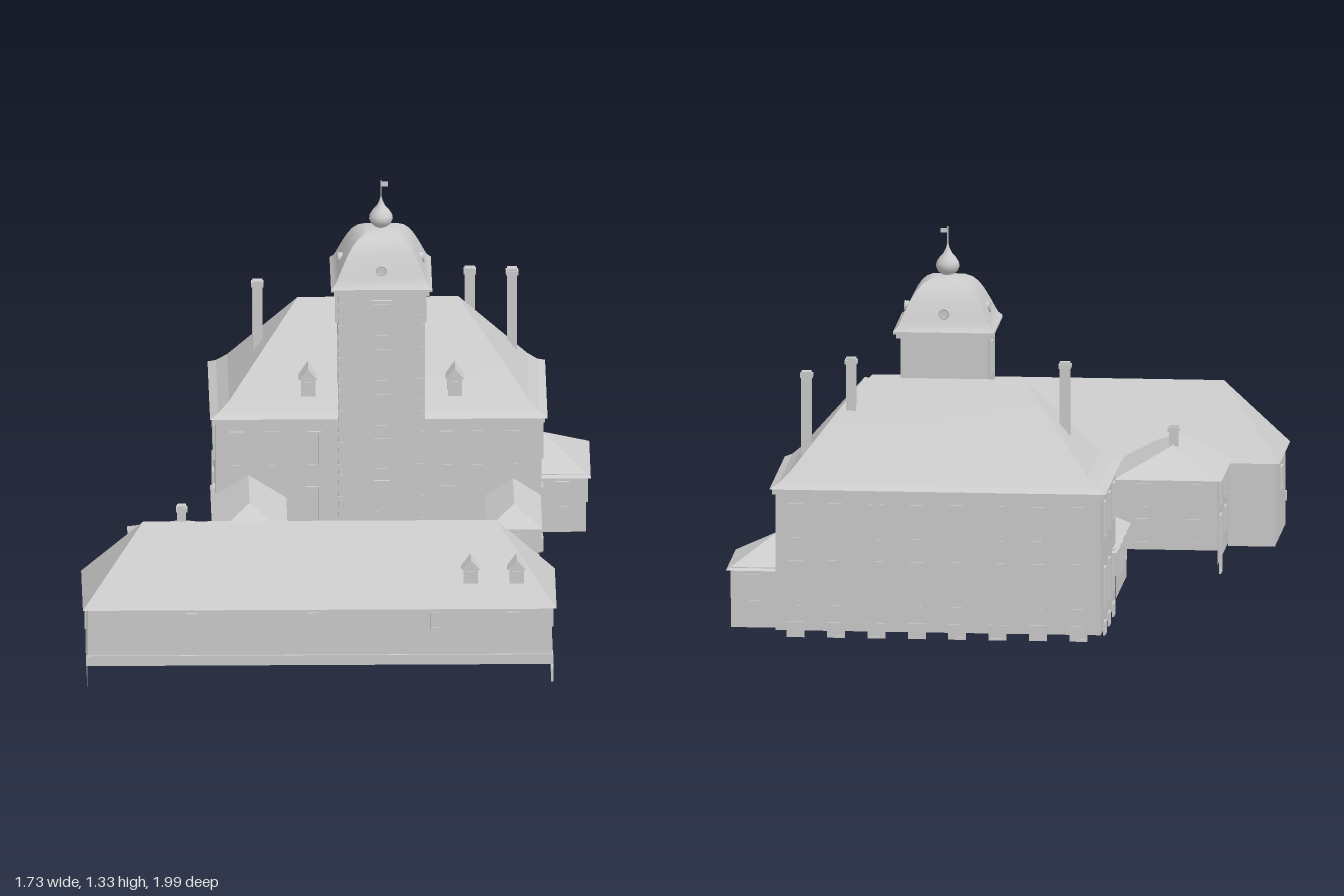
import * as THREE from 'three';
import { toCreasedNormals } from 'three/addons/utils/BufferGeometryUtils.js';

export function createModel() {
  const root = new THREE.Group();
  root.name = 'manorHouse';
  const stone = new THREE.MeshStandardMaterial({ color: 0xcccccc, side: THREE.DoubleSide });
  stone.name = 'pale grey stone';

  const add = (name, geo, parent = root, x = 0, y = 0, z = 0) => {
    const m = new THREE.Mesh(geo, stone);
    m.name = name;
    m.position.set(x, y, z);
    parent.add(m);
    return m;
  };
  const box = (name, w, h, d, x, y, z, parent) =>
    add(name, new THREE.BoxGeometry(w, h, d), parent, x, y, z);

  // Surface through stacked rectangles [x0, x1, z0, z1, y]
  function loft(name, rings, crease = 0.1) {
    const pts = [];
    const corners = ([x0, x1, z0, z1, y]) =>
      [[x0, y, z1], [x1, y, z1], [x1, y, z0], [x0, y, z0]].map(p => new THREE.Vector3(...p));
    const tri = (a, b, c) => {
      const n = b.clone().sub(a).cross(c.clone().sub(a));
      if (n.length() > 1e-9) for (const p of [a, b, c]) pts.push(p.x, p.y, p.z);
    };
    for (let r = 0; r + 1 < rings.length; r++) {
      const a = corners(rings[r]), b = corners(rings[r + 1]);
      for (let i = 0; i < 4; i++) {
        const j = (i + 1) % 4;
        tri(a[i], a[j], b[j]);
        tri(a[i], b[j], b[i]);
      }
    }
    const g = new THREE.BufferGeometry();
    g.setAttribute('position', new THREE.Float32BufferAttribute(pts, 3));
    return add(name, toCreasedNormals(g, crease));
  }

  // Four thin walls, open below; bottoms given as front, back, left (+x), right (-x)
  function walls(name, x0, x1, z0, z1, top, [f, b, l, r]) {
    const g = new THREE.Group();
    g.name = name;
    root.add(g);
    const plane = (n, w, y0, x, z, ry) => {
      const m = add(n, new THREE.PlaneGeometry(w, top - y0), g, x, (top + y0) / 2, z);
      m.rotation.y = ry;
    };
    const cx = (x0 + x1) / 2, cz = (z0 + z1) / 2;
    plane('frontWall', x1 - x0, f, cx, z1, 0);
    plane('backWall', x1 - x0, b, cx, z0, Math.PI);
    plane('leftWall', z1 - z0, l, x1, cz, Math.PI / 2);
    plane('rightWall', z1 - z0, r, x0, cz, -Math.PI / 2);
  }

  // Rectangular band around a building
  function band(name, x0, x1, z0, z1, y0, y1, t = 0.03) {
    const s = new THREE.Shape([[x0, -z0], [x1, -z0], [x1, -z1], [x0, -z1]].map(p => new THREE.Vector2(...p)));
    s.holes.push(new THREE.Path([[x0 + t, -z0 - t], [x1 - t, -z0 - t], [x1 - t, -z1 + t], [x0 + t, -z1 + t]]
      .map(p => new THREE.Vector2(...p))));
    const m = add(name, new THREE.ExtrudeGeometry(s, { depth: y1 - y0, bevelEnabled: false }), root, 0, y0, 0);
    m.rotation.x = -Math.PI / 2;
  }

  // Window or door: thin panel with a raised frame; side is f, b, l or r
  const turn = { f: 0, b: Math.PI, l: Math.PI / 2, r: -Math.PI / 2 };
  function outline(Type, w, h, arch, o = 0) {
    const p = new Type(), k = w / 2 - o;
    p.moveTo(-k, o);
    p.lineTo(k, o);
    if (arch) p.absarc(0, h - w / 2, k, 0, Math.PI, false);
    else { p.lineTo(k, h - o); p.lineTo(-k, h - o); }
    p.closePath();
    return p;
  }
  function opening(name, side, plane, u, y0, y1, w = 0.042, arch = false) {
    const h = y1 - y0, g = new THREE.Group();
    g.name = name;
    const frame = outline(THREE.Shape, w, h, arch);
    frame.holes.push(outline(THREE.Path, w, h, arch, 0.007));
    add('frame', new THREE.ExtrudeGeometry(frame, { depth: 0.007, bevelEnabled: false, curveSegments: 8 }), g);
    add('pane', new THREE.ExtrudeGeometry(outline(THREE.Shape, w, h, arch), { depth: 0.003, bevelEnabled: false, curveSegments: 8 }), g);
    const alongX = side === 'f' || side === 'b';
    g.position.set(alongX ? u : plane, y0, alongX ? plane : u);
    g.rotation.y = turn[side];
    root.add(g);
  }

  function dormer(x, y, z, back, hBody, hGable) {
    const g = new THREE.Group();
    g.name = 'dormer';
    g.position.set(x, y, z);
    if (back) g.rotation.y = Math.PI;
    root.add(g);
    box('dormerBody', 0.048, hBody, 0.07, 0, hBody / 2, -0.04, g);
    box('dormerWindow', 0.028, hBody * 0.75, 0.006, 0, hBody / 2, -0.003, g);
    const s = new THREE.Shape([[-0.032, 0], [0.032, 0], [0, hGable]].map(p => new THREE.Vector2(...p)));
    add('dormerRoof', new THREE.ExtrudeGeometry(s, { depth: 0.088, bevelEnabled: false }), g, 0, hBody, -0.088);
  }

  function chimney(x, z, y0, y1, w = 0.034, d = 0.03) {
    box('chimney', w, y1 - y0, d, x, (y0 + y1) / 2, z);
    box('chimneyCap', w + 0.008, 0.014, d + 0.008, x, y1 - 0.014, z);
  }

  // Long barn
  walls('barn', -0.85, 0.71, 0.6, 0.98, 0.33, [0.125, 0.11, 0.06, 0.045]);
  box('barnBackFooting', 0.16, 0.08, 0.006, -0.77, 0.08, 0.603);
  box('barnPlinth', 1.57, 0.035, 0.008, -0.07, 0.143, 0.982);
  box('barnEndPlinth', 0.008, 0.045, 0.38, 0.711, 0.084, 0.79);
  loft('barnRoof', [[-0.865, 0.725, 0.585, 0.995, 0.325], [-0.66, 0.525, 0.79, 0.79, 0.57]]);
  for (const x of [-0.5, -0.09, 0.32, 0.58]) opening('barnFrontWindow', 'f', 0.98, x, 0.25, 0.31, 0.038);
  for (const x of [-0.08, 0.05, 0.14, 0.36, 0.47, 0.6]) opening('barnBackWindow', 'b', 0.6, x, 0.19, 0.28, 0.04);
  opening('barnDoor', 'b', 0.6, 0.243, 0.0, 0.26, 0.055);
  opening('barnGate', 'b', 0.6, -0.22, 0.0, 0.26, 0.14, true);
  opening('barnEndWindow', 'l', 0.71, 0.795, 0.2, 0.28, 0.052);
  opening('barnEndWindow', 'r', -0.85, 0.795, 0.2, 0.28, 0.052);
  for (const x of [0.438, 0.592]) dormer(x, 0.395, 0.942, false, 0.05, 0.034);
  for (const x of [0.045, 0.294, 0.512]) dormer(x, 0.395, 0.64, true, 0.05, 0.034);

  // Barn wing
  walls('barnWing', -0.69, -0.355, 0.2, 0.6, 0.345, [0.3, 0.1, 0.05, 0.05]);
  loft('barnWingRoof', [[-0.705, -0.34, 0.18, 0.75, 0.34], [-0.522, -0.522, 0.36, 0.57, 0.425]]);
  chimney(-0.525, 0.395, 0.38, 0.49, 0.03, 0.026);
  for (const [side, plane] of [['l', -0.355], ['r', -0.69]])
    for (const z of [0.28, 0.465]) {
      opening('wingUpperWindow', side, plane, z, 0.24, 0.325, 0.055);
      if (z === 0.28) opening('wingDoor', side, plane, z, 0.01, 0.21, 0.06);
      else opening('wingLowerWindow', side, plane, z, 0.12, 0.205, 0.055);
    }
  for (const x of [-0.61, -0.44]) {
    opening('wingUpperWindow', 'b', 0.2, x, 0.24, 0.325, 0.05);
    opening('wingLowerWindow', 'b', 0.2, x, 0.12, 0.205, 0.05);
  }

  // Main house with a flared hip roof
  walls('mainHouse', -0.4, 0.695, -0.98, -0.42, 0.51, [0.03, 0.03, 0.03, 0.03]);
  band('mainCornice', -0.41, 0.707, -0.99, -0.41, 0.495, 0.514);
  loft('mainRoof', [[-0.418, 0.715, -0.998, -0.402, 0.513], [-0.39, 0.687, -0.97, -0.43, 0.528],
    [-0.353, 0.653, -0.938, -0.462, 0.56], [-0.12, 0.42, -0.7, -0.7, 0.845]]);
  chimney(-0.255, -0.695, 0.6, 0.908);
  chimney(0.459, -0.768, 0.65, 0.925);
  chimney(0.602, -0.852, 0.53, 0.892);
  for (const x of [-0.088, 0.405]) {
    dormer(x, 0.572, -0.462, false, 0.06, 0.037);
    dormer(x, 0.572, -0.843, true, 0.06, 0.037);
  }
  for (let i = 0; i < 8; i++) {
    const x = -0.325 + i * 0.136;
    opening('mainUpperWindow', 'b', -0.98, x, 0.34, 0.465, 0.05);
    opening('mainLowerWindow', 'b', -0.98, x, 0.11, 0.27, 0.05);
    opening('cellarWindow', 'b', -0.98, x, 0.008, 0.06, 0.06);
  }
  for (const x of [-0.33, -0.21, -0.07, 0.38, 0.48, 0.6]) opening('mainUpperWindow', 'f', -0.42, x, 0.34, 0.465, 0.048);
  for (const x of [-0.07, 0.38]) {
    opening('mainLowerWindow', 'f', -0.42, x, 0.12, 0.27, 0.048);
    opening('cellarWindow', 'f', -0.42, x, 0.008, 0.06, 0.08);
  }
  for (const z of [-0.515, -0.685, -0.85]) {
    for (const [side, plane] of [['l', 0.695], ['r', -0.4]]) {
      opening('sideUpperWindow', side, plane, z, 0.34, 0.465, 0.055);
      opening('sideLowerWindow', side, plane, z, 0.1, 0.24, 0.055);
      opening('cellarWindow', side, plane, z, 0.01, 0.055, 0.06);
    }
  }

  // Stair tower
  const tx = 0.157, tz = -0.503;
  const square = (h, y) => [tx - h, tx + h, tz - h, tz + h, y];
  walls('tower', tx - 0.145, tx + 0.145, tz - 0.155, tz + 0.155, 0.99, [0.02, 0.5, 0.03, 0.03]);
  band('towerCornice', tx - 0.16, tx + 0.16, tz - 0.163, tz + 0.163, 0.972, 0.992);
  loft('towerRoof', [[0.17, 0.988], [0.17, 0.996], [0.156, 1.01], [0.147, 1.028], [0.138, 1.048], [0.126, 1.073],
    [0.112, 1.1], [0.096, 1.125], [0.077, 1.144], [0.055, 1.156], [0.025, 1.163], [0, 1.17]]
    .map(([h, y]) => square(h, y)), 0.45);
  for (let i = 0; i < 4; i++) {
    const a = i * Math.PI / 2, g = new THREE.Group();
    g.name = 'roundDormer';
    g.position.set(tx, 1.055, tz);
    g.rotation.y = a;
    root.add(g);
    add('dormerDrum', new THREE.CylinderGeometry(0.016, 0.016, 0.05, 12), g, 0, 0, 0.118).rotation.x = Math.PI / 2;
    add('dormerRim', new THREE.TorusGeometry(0.016, 0.003, 6, 14), g, 0, 0, 0.143);
  }
  for (const y of [0.825, 0.665, 0.505, 0.35, 0.2]) opening('towerWindow', 'f', tz + 0.155, tx, y, y + 0.115, 0.056);
  opening('towerDoor', 'f', tz + 0.155, tx, 0.03, 0.16, 0.075, true);
  box('windowHood', 0.07, 0.01, 0.014, tx, 0.95, tz + 0.158);
  for (const [side, plane] of [['l', tx + 0.145], ['r', tx - 0.145]])
    opening('towerSideWindow', side, plane, tz + 0.005, 0.83, 0.94, 0.045);
  for (let i = 0; i < 2; i++) box('doorStep', 0.11 + i * 0.03, 0.015, 0.02 + i * 0.012, tx, 0.025 - i * 0.015, tz + 0.165);
  // Corner stones
  for (let i = 0; i < 24; i++)
    for (const s of [-1, 1]) {
      const w = i % 2 ? 0.014 : 0.026;
      box('cornerStone', w, 0.018, 0.004, tx + s * (0.146 - w / 2), 0.06 + i * 0.038, tz + 0.155);
    }

  // Onion finial, mast and pennant
  add('onion', new THREE.LatheGeometry([[0.022, 1.155], [0.02, 1.166], [0.033, 1.176], [0.04, 1.192], [0.038, 1.206],
    [0.028, 1.222], [0.014, 1.238], [0.006, 1.255], [0.002, 1.27]].map(p => new THREE.Vector2(...p)), 20), root, tx, 0, tz);
  add('mast', new THREE.CylinderGeometry(0.002, 0.002, 0.09, 6), root, tx, 1.283, tz);
  box('pennant', 0.024, 0.016, 0.002, tx + 0.012, 1.314, tz);

  // Right forecourt pavilion
  walls('rightPavilion', -0.403, -0.178, -0.42, -0.025, 0.235, [0.05, 0.2, 0.05, 0.05]);
  loft('rightPavilionRoof', [[-0.416, -0.162, -0.55, -0.01, 0.23], [-0.289, -0.289, -0.42, -0.138, 0.31]]);
  for (const z of [-0.1, -0.24, -0.34])
    for (const [side, plane] of [['l', -0.178], ['r', -0.403]]) opening('pavilionWindow', side, plane, z, 0.12, 0.21, 0.05);
  opening('pavilionWindow', 'f', -0.025, -0.29, 0.12, 0.21, 0.05);
  opening('pavilionDoor', 'l', -0.178, -0.155, 0.015, 0.2, 0.06);

  // Left forecourt pavilion
  walls('leftPavilion', 0.52, 0.68, -0.42, -0.082, 0.24, [0.05, 0.2, 0.05, 0.05]);
  loft('leftPavilionRoof', [[0.506, 0.692, -0.5, -0.068, 0.235], [0.599, 0.599, -0.42, -0.16, 0.295]]);
  opening('pavilionWindow', 'l', 0.68, -0.24, 0.12, 0.215, 0.055);
  opening('pavilionWindow', 'f', -0.082, 0.6, 0.12, 0.215, 0.05);
  opening('pavilionDoor', 'r', 0.52, -0.24, 0.015, 0.2, 0.06);
  opening('cellarWindow', 'l', 0.68, -0.29, 0.015, 0.06, 0.055);

  // Side annex
  walls('sideAnnex', 0.69, 0.847, -0.966, -0.615, 0.24, [0.035, 0.035, 0.035, 0.2]);
  loft('sideAnnexRoof', [[0.64, 0.863, -0.98, -0.6, 0.23], [0.66, 0.705, -0.79, -0.79, 0.33]]);
  for (const z of [-0.7, -0.865]) opening('annexWindow', 'l', 0.847, z, 0.12, 0.215, 0.055);
  for (const [side, plane] of [['f', -0.615], ['b', -0.966]]) opening('annexWindow', side, plane, 0.77, 0.12, 0.215, 0.05);

  return root;
}
